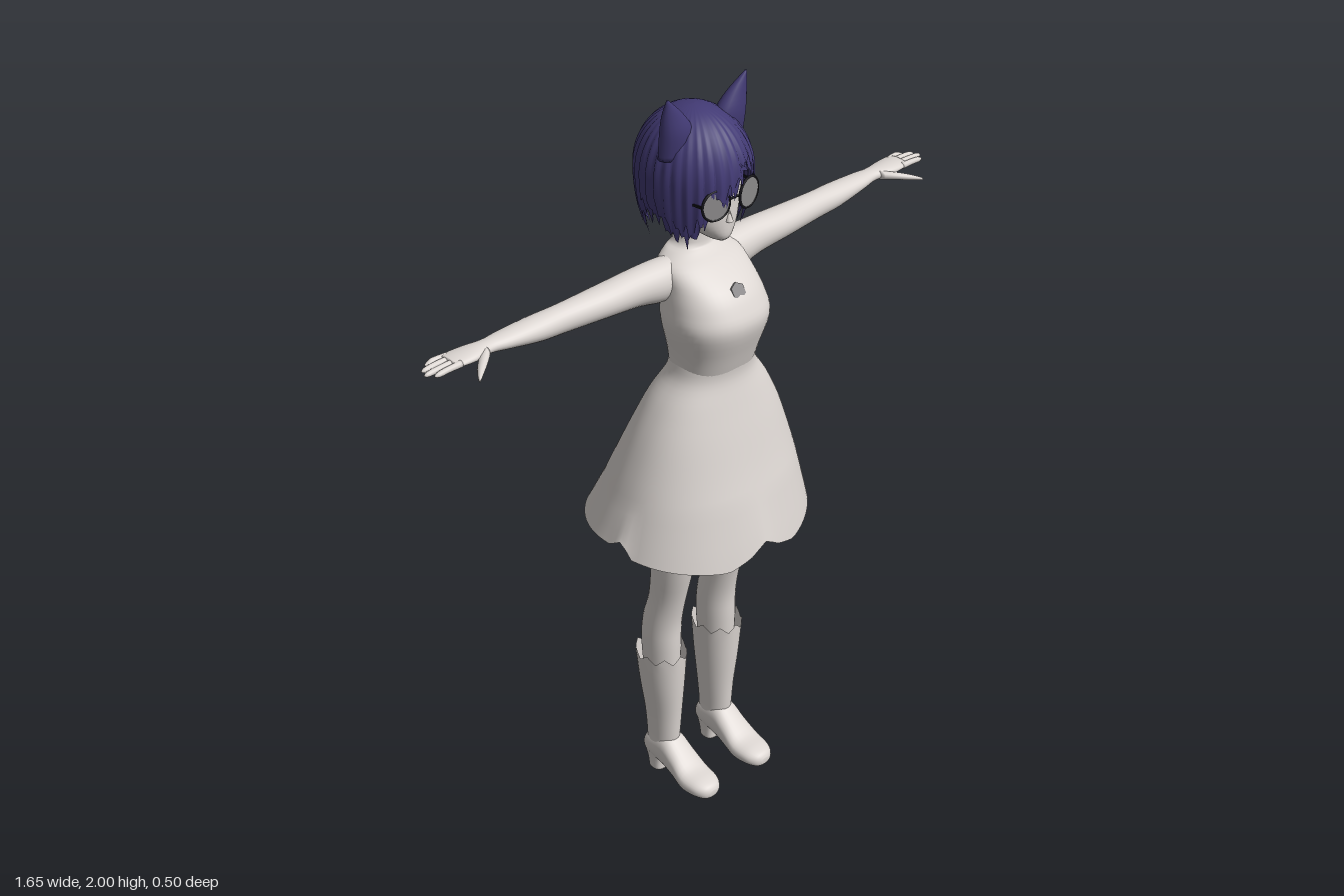
import * as THREE from 'three';

const mat = (name, color) => new THREE.MeshStandardMaterial({ name, color, side: THREE.DoubleSide });
const { sin, cos, abs, sign, PI } = Math;

// Closed or open surface from a grid of points; columns wrap around.
function gridSurface(rows, n, pointAt, capped) {
  const pos = [], idx = [];
  for (let i = 0; i <= rows; i++)
    for (let j = 0; j < n; j++) pos.push(...pointAt(i / rows, (j / n) * 2 * PI, j));
  for (let i = 0; i < rows; i++)
    for (let j = 0; j < n; j++) {
      const a = i * n + j, b = i * n + (j + 1) % n;
      idx.push(a, a + n, b, b, a + n, b + n);
    }
  if (capped) for (const row of [0, rows]) {
    const c = pos.length / 3, mid = [0, 0, 0];
    for (let j = 0; j < n; j++) for (let k = 0; k < 3; k++) mid[k] += pos[(row * n + j) * 3 + k] / n;
    pos.push(...mid);
    for (let j = 0; j < n; j++) {
      const a = row * n + j, b = row * n + (j + 1) % n;
      idx.push(c, row ? b : a, row ? a : b);
    }
  }
  const g = new THREE.BufferGeometry();
  g.setAttribute('position', new THREE.Float32BufferAttribute(pos, 3));
  g.setIndex(idx);
  g.computeVertexNormals();
  return g;
}

// Smooth value between neighbouring sections.
function blend(sections, t) {
  const last = sections.length - 1, f = t * last, i = Math.min(last - 1, Math.floor(f)), u = f - i;
  const at = k => sections[Math.max(0, Math.min(last, k))];
  return sections[0].map((_, k) => {
    const a = at(i - 1)[k], b = at(i)[k], c = at(i + 1)[k], d = at(i + 2)[k];
    return b + 0.5 * u * (c - a + u * (2 * a - 5 * b + 4 * c - d + u * (3 * (b - c) + d - a)));
  });
}

// Sections are [along, centreU, centreV, radiusU, radiusV].
// Axis y: u = x, v = z.  Axis x: u = z, v = y.  Axis z: u = y, v = x.
function loft(axis, sections, { n = 28, power = 2, capped = true, shift = null } = {}) {
  const bend = w => sign(w) * abs(w) ** (2 / power);
  return gridSurface((sections.length - 1) * 4, n, (t, a) => {
    const [s, cu, cv, ru, rv] = blend(sections, t);
    const u = cu + ru * bend(cos(a)), v = cv + rv * bend(sin(a));
    const p = axis === 'y' ? [u, s, v] : axis === 'x' ? [s, v, u] : [v, u, s];
    if (shift) p[1] += shift(t, a);
    return p;
  }, capped);
}

// Linear lookup in [[angle, value], ...].
function lookup(table, d) {
  for (let i = 1; i < table.length; i++) {
    const [a, va] = table[i - 1], [b, vb] = table[i];
    if (d <= b) return va + (vb - va) * (d - a) / (b - a);
  }
  return table[table.length - 1][1];
}

// Degrees from the front, positive towards the model's left.
const fromFront = a => Math.atan2(cos(a), sin(a)) * 180 / PI;

// Uneven hem of the skirt and of the hair.
const skirtHem = [[0, 0.83], [8, 0.8], [20, 0.78], [76, 0.825], [81, 0.87], [90, 0.845], [180, 0.845]];
const hairHem = [[-180, 1.62], [-125, 1.63], [-108, 1.69], [-85, 1.69], [-72, 1.65], [-50, 1.64], [-40, 1.67],
  [-30, 1.71], [-10, 1.74], [2, 1.765], [14, 1.8], [30, 1.78], [44, 1.73], [52, 1.65], [72, 1.65], [85, 1.69],
  [108, 1.69], [125, 1.63], [180, 1.62]];

// One layer of hair: a dome with ridged strands and pointed ends.
function hairLayer(scale, lift, seed) {
  const n = 132;
  const jag = j => [0, -0.022, -0.008, 0.012][(j + seed) % 4] + 0.014 * sin(j * 2.7 + seed);
  return gridSurface(18, n, (t, a, j) => {
    const hem = lookup(hairHem, fromFront(a)) + lift + jag(j);
    const top = 1.78 + 0.158 * scale;
    const y = hem + (top - hem) * sin(t * PI / 2);
    const k = (y - 1.78) / (y > 1.78 ? top - 1.78 : 0.17);
    let r = y > 1.78 ? Math.sqrt(Math.max(0, 1 - k * k)) : 1 - 0.2 * k * k;
    r *= scale * (1 + 0.02 * ((j + seed) % 4 - 1.5) / 1.5 * (1 - t * t));
    return [0.135 * r * cos(a), y, -0.01 + 0.151 * r * sin(a)];
  }, false);
}

export function createModel() {
  const root = new THREE.Group();
  const pale = mat('pale clay', 0xdcd6d2), purple = mat('dark purple hair', 0x423a74);
  const black = mat('black frame', 0x141318), grey = mat('grey lens', 0x8b898a);
  const add = (parent, name, geometry, material) => {
    const m = new THREE.Mesh(geometry, material);
    m.name = name;
    parent.add(m);
    return m;
  };

  // Torso with neck
  add(root, 'torso', loft('y', [
    [1.27, 0, 0.053, 0.108, 0.087], [1.33, 0, 0.06, 0.117, 0.1], [1.41, 0, 0.066, 0.135, 0.119],
    [1.46, 0, 0.056, 0.13, 0.115], [1.505, 0, 0.036, 0.122, 0.104], [1.55, 0, 0.008, 0.115, 0.074],
    [1.575, 0, -0.01, 0.08, 0.052], [1.595, 0, -0.014, 0.046, 0.044], [1.68, 0, -0.01, 0.038, 0.042],
  ], { n: 48, power: 2.3 }), pale);

  // Flared skirt with an uneven hem
  add(root, 'skirt', loft('y', [
    [0.83, 0, 0.002, 0.305, 0.25], [0.93, 0, 0.012, 0.276, 0.213], [1.02, 0, 0.021, 0.248, 0.18],
    [1.12, 0, 0.032, 0.21, 0.146], [1.2, 0, 0.04, 0.168, 0.119], [1.26, 0, 0.05, 0.125, 0.096], [1.3, 0, 0.056, 0.112, 0.092],
  ], { n: 96, power: 2.15, capped: false,
    shift: (t, a) => (lookup(skirtHem, abs(fromFront(a))) - 0.83) * Math.max(0, 1 - t * 5) }), pale);

  // Hips hidden under the skirt
  add(root, 'hips', loft('y', [[0.9, 0, 0.01, 0.05, 0.06], [0.96, 0, 0.01, 0.14, 0.09], [1.08, 0, 0.02, 0.14, 0.09],
    [1.24, 0, 0.045, 0.1, 0.07]]), pale);

  // Head and nose
  add(root, 'head', loft('y', [
    [1.618, 0, 0.08, 0.01, 0.014], [1.632, 0, 0.062, 0.034, 0.046], [1.67, 0, 0.025, 0.074, 0.086],
    [1.73, 0, 0.005, 0.097, 0.106], [1.8, 0, 0, 0.105, 0.115], [1.86, 0, -0.005, 0.09, 0.1], [1.9, 0, -0.005, 0.04, 0.05],
  ], { n: 36 }), pale);
  const nose = add(root, 'nose', new THREE.ConeGeometry(0.01, 0.03, 8), pale);
  nose.position.set(0, 1.69, 0.112);

  // Hair in two layers
  add(root, 'innerHair', hairLayer(0.97, 0, 0), purple);
  add(root, 'outerHair', hairLayer(1, 0.025, 2), purple);

  // Pendant on the chest
  const pendant = add(root, 'pendant', new THREE.CylinderGeometry(0.022, 0.022, 0.006, 6), grey);
  pendant.position.set(0, 1.5, 0.143);
  pendant.rotation.x = PI / 2 - 0.55;

  // Glasses bridge
  const bridge = add(root, 'glassesBridge', new THREE.CylinderGeometry(0.003, 0.003, 0.03, 6), black);
  bridge.position.set(0, 1.742, 0.126);
  bridge.rotation.z = PI / 2;

  for (const side of [1, -1]) {
    const half = new THREE.Group();
    half.name = side > 0 ? 'leftSide' : 'rightSide';
    half.scale.x = side;
    root.add(half);

    // Arm and palm
    add(half, 'arm', loft('x', [
      [0.06, -0.005, 1.527, 0.04, 0.04], [0.12, -0.008, 1.516, 0.05, 0.054], [0.2, -0.01, 1.522, 0.046, 0.047],
      [0.3, -0.01, 1.525, 0.044, 0.04], [0.42, -0.015, 1.525, 0.036, 0.035], [0.5, -0.019, 1.526, 0.037, 0.031],
      [0.59, -0.021, 1.532, 0.031, 0.021], [0.64, -0.021, 1.535, 0.024, 0.016], [0.69, -0.019, 1.537, 0.033, 0.015],
      [0.73, -0.022, 1.537, 0.035, 0.012], [0.752, -0.024, 1.537, 0.033, 0.009],
    ]), pale);

    // Fingers and thumb
    [[-0.051, 0.795], [-0.033, 0.818], [-0.014, 0.825], [0.004, 0.81]].forEach(([z, tip]) =>
      add(half, 'finger', loft('x', [[0.735, z * 0.9, 1.537, 0.009, 0.009], [0.77, z, 1.537, 0.008, 0.008],
        [tip - 0.012, z, 1.535, 0.007, 0.007], [tip, z, 1.534, 0.002, 0.002]], { n: 10 }), pale));
    add(half, 'thumb', loft('x', [[0.655, -0.005, 1.535, 0.016, 0.012], [0.685, 0.021, 1.532, 0.016, 0.01],
      [0.715, 0.047, 1.527, 0.012, 0.008], [0.738, 0.071, 1.523, 0.004, 0.004]], { n: 12 }), pale);

    // Leg
    add(half, 'leg', loft('y', [
      [0.3, 0.1, -0.028, 0.042, 0.05], [0.42, 0.1, -0.03, 0.048, 0.058], [0.5, 0.099, -0.026, 0.048, 0.056],
      [0.58, 0.097, -0.008, 0.046, 0.053], [0.68, 0.097, 0.01, 0.052, 0.06], [0.8, 0.094, 0.018, 0.062, 0.072],
      [0.92, 0.084, 0.018, 0.07, 0.08], [1.02, 0.078, 0.02, 0.066, 0.08],
    ]), pale);

    // Boot: shaft with a ragged cuff, foot and heel
    add(half, 'bootShaft', loft('y', [
      [0.06, 0.097, -0.03, 0.038, 0.045], [0.12, 0.097, -0.027, 0.038, 0.05], [0.2, 0.097, -0.027, 0.044, 0.056],
      [0.3, 0.1, -0.028, 0.055, 0.066], [0.4, 0.102, -0.028, 0.064, 0.073],
    ], { n: 36, capped: false, shift: (t, a) => t < 1 ? 0 : 0.01 * sin(a * 9) }), pale);
    add(half, 'bootFoot', loft('z', [
      [-0.083, 0.07, 0.097, 0.018, 0.02], [-0.06, 0.078, 0.097, 0.038, 0.038], [0, 0.078, 0.097, 0.054, 0.042],
      [0.045, 0.056, 0.097, 0.044, 0.045], [0.09, 0.032, 0.098, 0.031, 0.05], [0.135, 0.026, 0.098, 0.025, 0.045],
      [0.16, 0.022, 0.098, 0.019, 0.03], [0.169, 0.02, 0.098, 0.008, 0.012],
    ], { power: 2.3 }), pale);
    add(half, 'bootHeel', loft('y', [[0, 0.097, -0.04, 0.03, 0.024], [0.03, 0.097, -0.042, 0.031, 0.027],
      [0.07, 0.097, -0.045, 0.036, 0.036]], { power: 3 }), pale);

    // Pointed animal ear on the hair, and the skin ear below it
    add(half, 'pointedEar', loft('y', [[1.84, 0.08, 0.015, 0.052, 0.03], [1.9, 0.086, 0.022, 0.048, 0.03],
      [1.95, 0.104, 0.027, 0.03, 0.019], [1.997, 0.126, 0.036, 0.003, 0.003]], { n: 16 }), purple);
    const ear = add(half, 'ear', new THREE.SphereGeometry(1, 14, 10), pale);
    ear.scale.set(0.012, 0.032, 0.018);
    ear.position.set(0.104, 1.71, -0.025);

    // Glasses: rim, lens and temple
    const glasses = new THREE.Group();
    glasses.name = 'glasses';
    glasses.position.set(0.054, 1.737, 0.122);
    glasses.rotation.y = 0.2;
    half.add(glasses);
    add(glasses, 'rim', new THREE.TorusGeometry(0.038, 0.0035, 6, 32), black);
    add(glasses, 'lens', new THREE.CylinderGeometry(0.037, 0.037, 0.004, 32), grey).rotation.x = PI / 2;
    const temple = add(half, 'glassesTemple', new THREE.BoxGeometry(0.004, 0.006, 0.13), black);
    temple.position.set(0.1, 1.742, 0.05);
    temple.rotation.y = -0.1;
  }
  return root;
}
